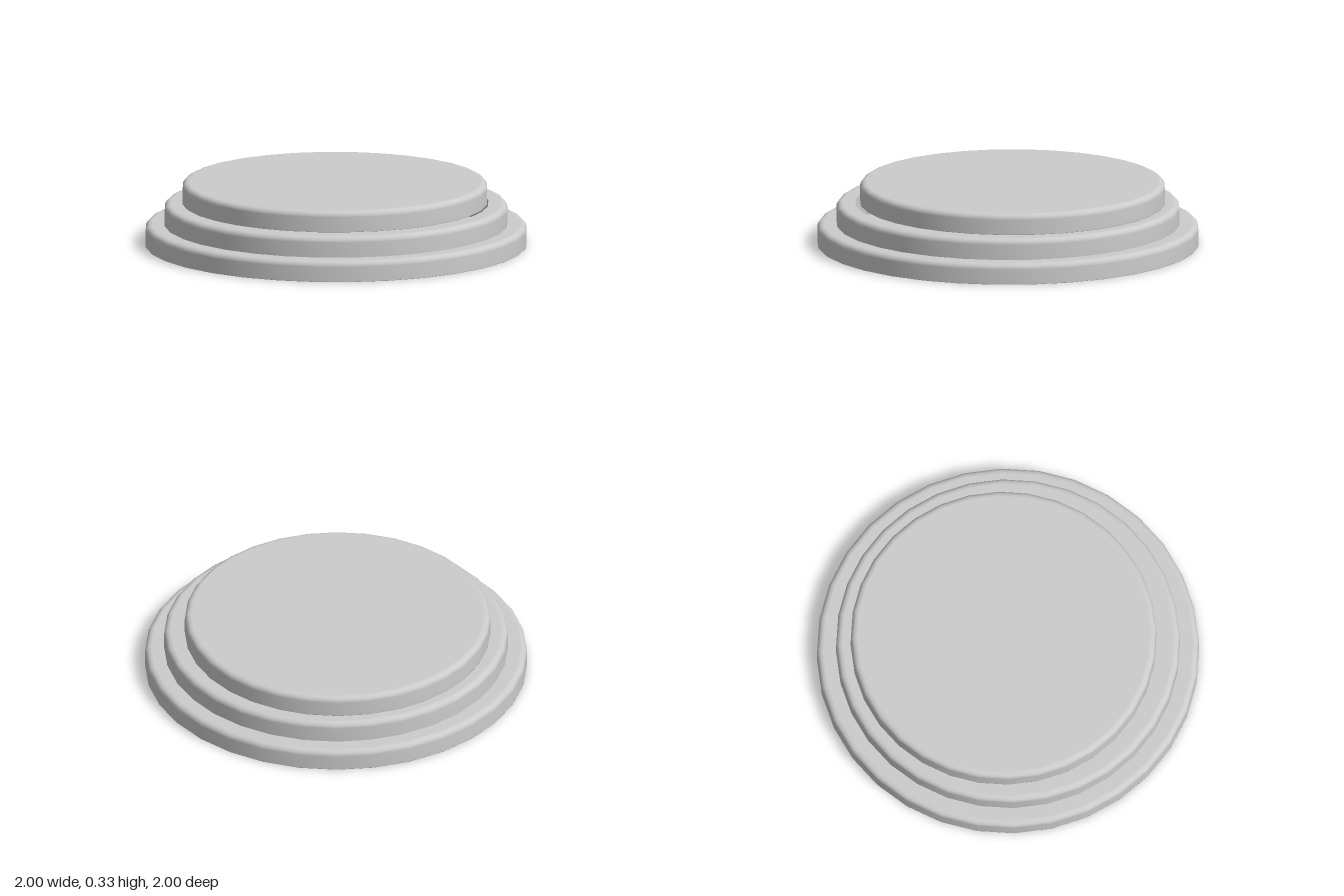
import * as THREE from 'three';

const SIDES = 32;
const STEP = 0.11;
const BEVEL = 0.03;

// One tier: straight wall, rounded upper edge, flat top running in to innerRadius.
function tier(name, radius, y, innerRadius, closedBottom) {
  const pts = [];
  const add = (x, h) => pts.push(new THREE.Vector2(x, h));
  if (closedBottom) {
    add(0, 0);
    add(radius - 0.002, 0);
  }
  add(radius, 0);
  add(radius, 0.002);
  for (let i = 0; i <= 4; i++) {
    const a = (i / 4) * Math.PI / 2;
    add(radius - BEVEL + BEVEL * Math.cos(a), STEP - BEVEL + BEVEL * Math.sin(a));
  }
  add(radius - BEVEL - 0.003, STEP); // keeps the flat top evenly shaded
  add(innerRadius, STEP);
  const mesh = new THREE.Mesh(
    new THREE.LatheGeometry(pts, SIDES),
    new THREE.MeshStandardMaterial({ color: 0xcccccc, side: THREE.DoubleSide })
  );
  mesh.name = name;
  mesh.position.y = y;
  return mesh;
}

export function createModel() {
  const group = new THREE.Group();
  group.name = 'steppedRoundBase';

  // Hollow lower steps with a closed underside
  group.add(tier('bottomStep', 1, 0, 0.9, true));
  group.add(tier('middleStep', 0.9, STEP, 0.8, false));

  // Top disc sits slightly off centre, leaving a thin crescent gap
  const top = tier('topDisc', 0.8, STEP * 2, 0, true);
  top.position.x = 0.015;
  top.position.z = -0.02;
  group.add(top);

  return group;
}
